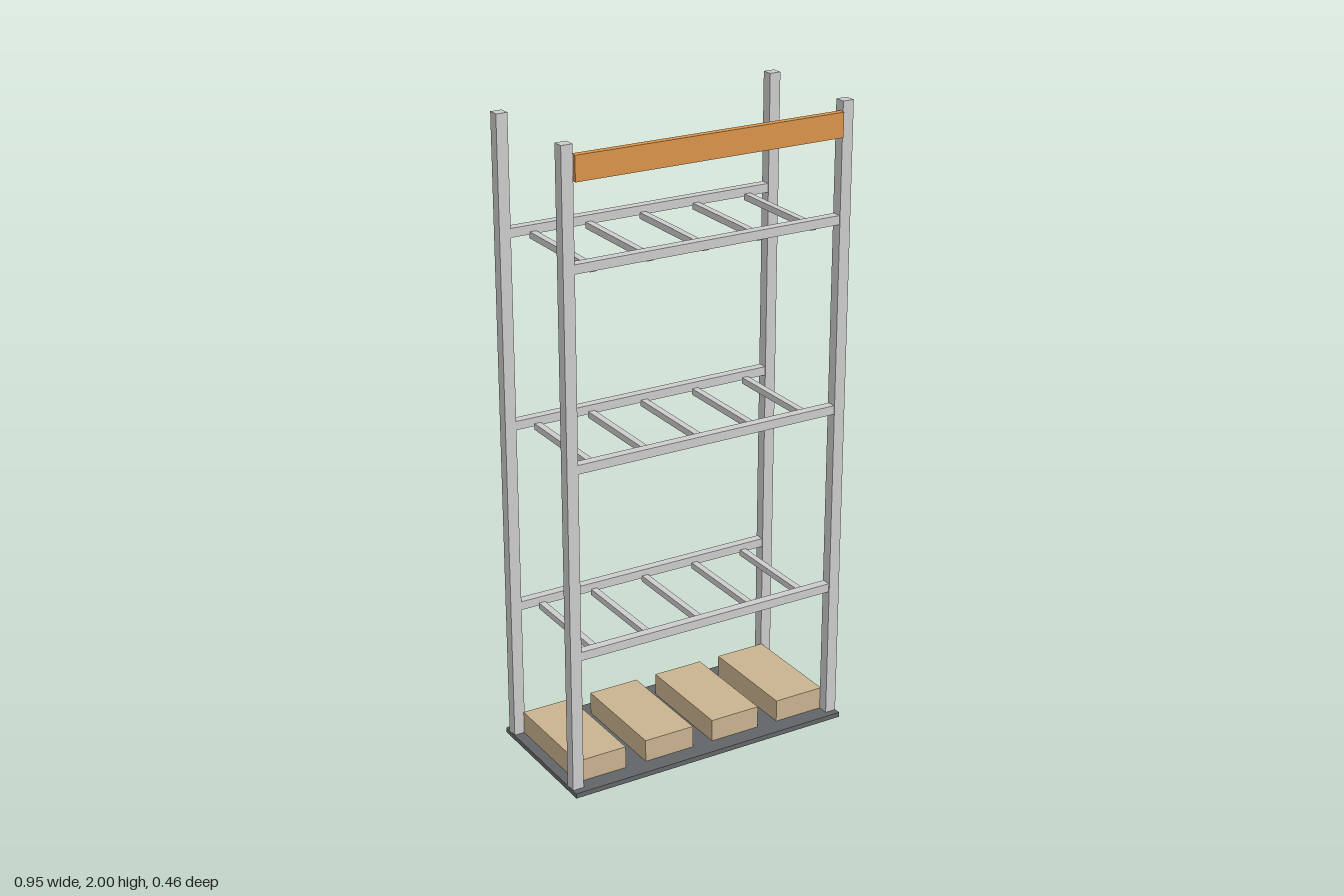
import * as THREE from 'three';

const material = (color) => new THREE.MeshStandardMaterial({ color });

export function createModel() {
  const group = new THREE.Group();
  group.name = 'palletRack';
  const steel = material(0xcccccc);
  const floor = material(0x626568);
  const cardboard = material(0xc9b28f);
  const orange = material(0xd9944a);

  // Box given by its extents on each axis
  function box(name, mat, [x0, x1], [y0, y1], [z0, z1]) {
    const mesh = new THREE.Mesh(new THREE.BoxGeometry(x1 - x0, y1 - y0, z1 - z0), mat);
    mesh.position.set((x0 + x1) / 2, (y0 + y1) / 2, (z0 + z1) / 2);
    mesh.name = name;
    group.add(mesh);
  }
  const around = (centre, size) => [centre - size / 2, centre + size / 2];

  // Floor plate
  box('basePlate', floor, [-0.475, 0.475], [0, 0.016], [-0.229, 0.229]);

  // Corner posts
  for (const x of [-0.456, 0.456])
    for (const z of [-0.19, 0.19])
      box('post', steel, around(x, 0.036), [0.016, 2], around(z, 0.035));

  // Shelf levels: two long beams and five cross bars each
  for (const y of [0.442, 1.037, 1.632]) {
    for (const z of [-0.19, 0.19])
      box('shelfBeam', steel, [-0.438, 0.438], [y, y + 0.028], around(z, 0.029));
    for (let i = -2; i <= 2; i++)
      box('crossBar', steel, around(i * 0.1825, 0.021), [y - 0.012, y + 0.008], [-0.178, 0.178]);
  }

  // Cartons on the floor plate
  for (const x of [-0.357, -0.119, 0.119, 0.357])
    box('carton', cardboard, around(x, 0.168), [0.016, 0.088], [-0.173, 0.173]);

  // Header board across the front posts
  box('headerBoard', orange, [-0.436, 0.436], [1.895, 1.97], [0.194, 0.216]);

  return group;
}
